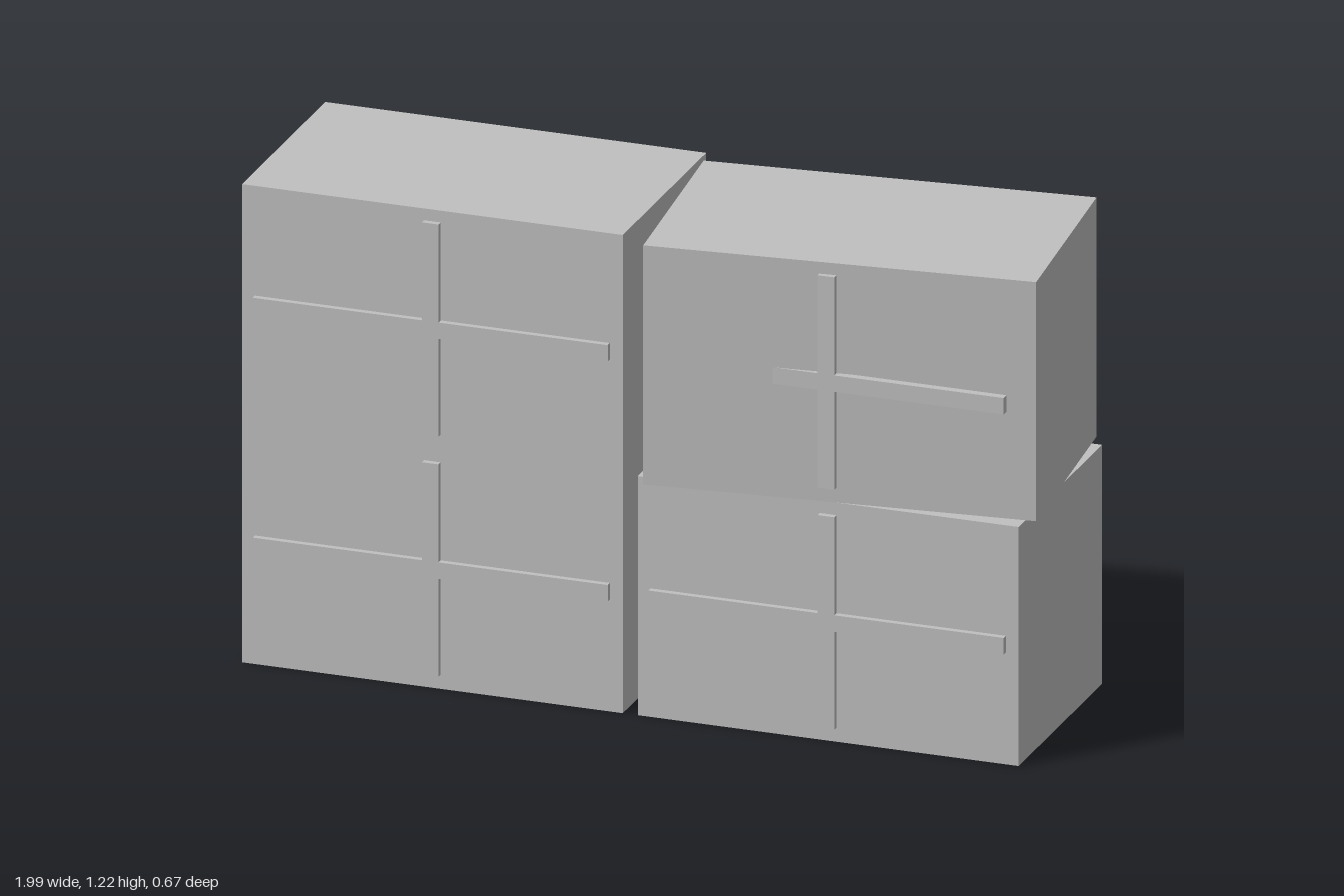
import * as THREE from 'three';

export function createModel() {
  const model = new THREE.Group();
  const grey = new THREE.MeshStandardMaterial({ color: 0xc0c0c0 });
  grey.name = 'plain grey';

  const addBox = (name, [w, h, d], [x, y, z], turn = 0) => {
    const mesh = new THREE.Mesh(new THREE.BoxGeometry(w, h, d), grey);
    mesh.name = name;
    mesh.position.set(x, y, z);
    mesh.rotation.y = turn;
    model.add(mesh);
  };

  const width = 0.965, height = 0.61, depth = 0.574;
  const columns = [-0.517, 0.486];

  // Double-height stack, and two single bales with the upper one twisted
  addBox('tallBale', [width, height * 2, depth], [columns[0], height, 0]);
  addBox('lowerBale', [width, height, depth], [columns[1], height / 2, 0]);
  addBox('twistedUpperBale', [width, height, depth], [columns[1], height * 1.5, 0], 0.1);

  // Crossed straps on front and back; the upper ones stay square to the stack
  for (const x of columns) {
    for (const y of [0.307, 0.919]) {
      for (const side of [1, -1]) {
        const z = side * 0.292;
        addBox('horizontalStrap', [0.9, 0.042, 0.02], [x, y, z]);
        // Upright strap in two halves around the horizontal one
        for (const end of [1, -1]) {
          addBox('uprightStrap', [0.042, 0.25, 0.02], [x, y + end * 0.146, z]);
        }
      }
    }
  }
  return model;
}
